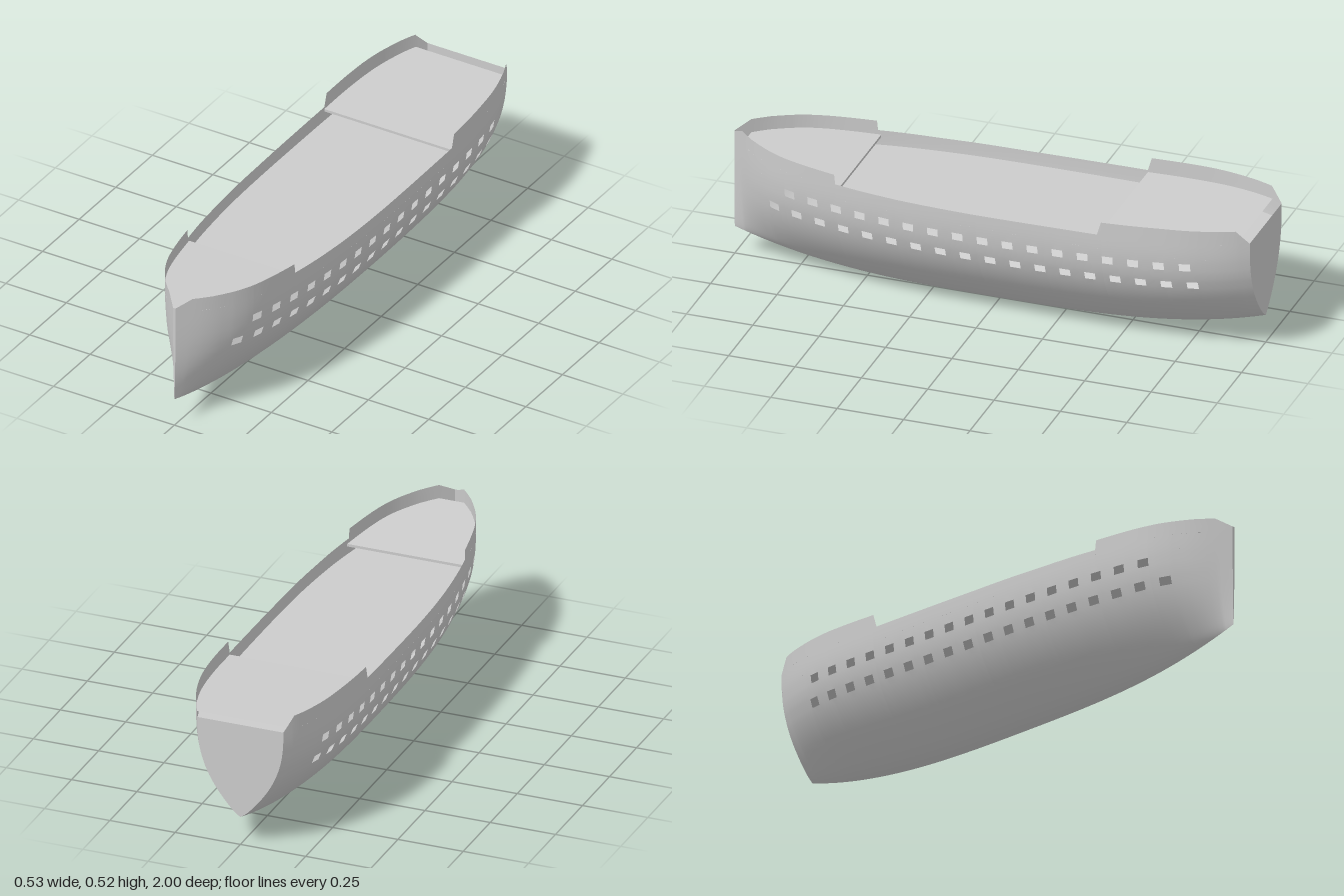
import * as THREE from 'three';

// Piecewise-linear lookup for rail heights
function lerpTable(pts, z) {
  for (let i = 1; i < pts.length; i++) {
    const [z0, a] = pts[i - 1], [z1, b] = pts[i];
    if (z <= z1) return a + (b - a) * Math.max(0, (z - z0) / (z1 - z0));
  }
  return pts[pts.length - 1][1];
}

// Smooth (cubic Hermite) lookup for the plan outline
function smoothTable(pts, z) {
  const n = pts.length;
  let i = 0;
  while (i < n - 2 && z > pts[i + 1][0]) i++;
  const slope = (k) => {
    const a = pts[Math.max(0, k - 1)], b = pts[Math.min(n - 1, k + 1)];
    return (b[1] - a[1]) / (b[0] - a[0]);
  };
  const h = pts[i + 1][0] - pts[i][0], t = (z - pts[i][0]) / h, t2 = t * t, t3 = t2 * t;
  return (2 * t3 - 3 * t2 + 1) * pts[i][1] + (t3 - 2 * t2 + t) * h * slope(i)
    + (3 * t2 - 2 * t3) * pts[i + 1][1] + (t3 - t2) * h * slope(i + 1);
}

const PLAN = [[-1, 0.165], [-0.957, 0.187], [-0.9, 0.21], [-0.8, 0.237], [-0.7, 0.252], [-0.55, 0.262],
  [-0.3, 0.265], [0, 0.264], [0.2, 0.258], [0.4, 0.242], [0.53, 0.224], [0.7, 0.191], [0.8, 0.157],
  [0.9, 0.097], [0.955, 0.048], [1, 0.005]];
const RAIL = [[-1, 0.474], [-0.955, 0.525], [-0.7, 0.522], [-0.475, 0.513], [-0.46, 0.463], [0, 0.459],
  [0.3, 0.46], [0.541, 0.465], [0.545, 0.502], [0.75, 0.51], [0.955, 0.52], [1, 0.49]];
const keel = (z) => 0.002 + 0.108 * Math.abs(z) ** 3;
const sheer = (z) => 0.455 + 0.015 * z ** 4;
const lowRow = (z) => 0.274 + 0.03 * z * z;
const highRow = (z) => 0.356 + 0.028 * z * z;

// Half-breadth of the hull at station z and height y
function halfBreadth(z, y) {
  const t = THREE.MathUtils.clamp((y - keel(z)) / (sheer(z) - keel(z)), 0, 1);
  const f = 1 - (1 - t) ** 2.5 + 1.2 * t * Math.exp(-18 * t);
  return smoothTable(PLAN, z) * Math.min(1, f);
}

// Window openings: centres along each row
const HALF_W = 0.02, HALF_H = 0.015;
const highWindows = Array.from({ length: 17 }, (_, i) => 0.729 - 0.0943 * i);
const lowWindows = Array.from({ length: 18 }, (_, i) => 0.8 - 0.0942 * i);

function stations() {
  const zs = RAIL.map((p) => p[0]);
  for (const c of [...highWindows, ...lowWindows]) zs.push(c - HALF_W, c + HALF_W);
  for (let i = 1; i < 60; i++) {
    const z = -1 + i / 30;
    if (!zs.some((q) => Math.abs(q - z) < 0.01)) zs.push(z);
  }
  return zs.sort((a, b) => a - b);
}

// Heights of a cross-section, bottom to rail, with the band each step belongs to
const STEPS = [14, 1, 3, 1, 3, 2];
function heights(z) {
  const edges = [keel(z), lowRow(z) - HALF_H, lowRow(z) + HALF_H,
    highRow(z) - HALF_H, highRow(z) + HALF_H, sheer(z), lerpTable(RAIL, z)];
  const ys = [edges[0]];
  STEPS.forEach((n, b) => {
    for (let i = 1; i <= n; i++) {
      const f = b === 0 ? (i / n) ** 1.4 : i / n;
      ys.push(edges[b] + (edges[b + 1] - edges[b]) * f);
    }
  });
  return ys;
}
const bands = STEPS.flatMap((n, b) => Array(n).fill(b));

function makeGeometry(pos, idx) {
  const g = new THREE.BufferGeometry();
  g.setAttribute('position', new THREE.Float32BufferAttribute(pos, 3));
  g.setIndex(idx);
  g.computeVertexNormals();
  return g;
}

// One side of the shell, with the window cells left open
function sideShell(side) {
  const zs = stations(), rows = bands.length + 1, pos = [], idx = [];
  for (const z of zs) for (const y of heights(z)) pos.push(side * halfBreadth(z, y), y, z);
  const open = (list, z) => list.some((c) => Math.abs(c - z) < HALF_W);
  for (let i = 0; i < zs.length - 1; i++) {
    const mid = (zs[i] + zs[i + 1]) / 2;
    bands.forEach((band, j) => {
      if ((band === 1 && open(lowWindows, mid)) || (band === 3 && open(highWindows, mid))) return;
      const a = i * rows + j, b = a + 1, c = a + rows, d = c + 1;
      if (side > 0) idx.push(a, b, c, b, d, c);
      else idx.push(a, c, b, b, c, d);
    });
  }
  return makeGeometry(pos, idx);
}

// Ribbon between left and right points, used for decks, deck edges and end plates
function ribbon(points, flip) {
  const pos = [], idx = [];
  points.forEach(([x, y, z], i) => {
    pos.push(-x, y, z, x, y, z);
    if (i === 0) return;
    const a = 2 * i - 2, b = a + 1, c = a + 2, d = a + 3;
    if (flip) idx.push(a, c, b, b, c, d);
    else idx.push(a, b, c, b, d, c);
  });
  return makeGeometry(pos, idx);
}

function deck(z0, z1, y0, y1) {
  const n = 40, pts = [];
  for (let i = 0; i <= n; i++) {
    const z = z0 + (z1 - z0) * i / n, y = y0 + (y1 - y0) * i / n;
    pts.push([halfBreadth(z, y), y, z]);
  }
  return ribbon(pts, true);
}

const deckEdge = (z, y0, y1, flip) => ribbon([y0, y1].map((y) => [halfBreadth(z, y), y, z]), flip);
const endPlate = (z, flip) => ribbon(heights(z).map((y) => [halfBreadth(z, y), y, z]), flip);

export function createModel() {
  const model = new THREE.Group();
  model.name = 'shipHull';
  const grey = new THREE.MeshStandardMaterial({ color: 0xcccccc, side: THREE.DoubleSide });
  grey.name = 'hullGrey';
  const add = (name, geometry) => {
    const mesh = new THREE.Mesh(geometry, grey);
    mesh.name = name;
    model.add(mesh);
  };

  // Shell
  add('leftHullSide', sideShell(1));
  add('rightHullSide', sideShell(-1));
  add('stem', endPlate(1, false));
  add('transom', endPlate(-1, true));

  // Full-length main deck, with raised decks over both ends
  add('mainDeck', deck(-1, 1, 0.408, 0.408));
  add('foreDeck', deck(0.53, 0.955, 0.448, 0.468));
  add('aftDeck', deck(-0.957, -0.46, 0.474, 0.455));
  add('foreDeckEdge', deckEdge(0.53, 0.438, 0.448, true));
  add('aftDeckEdge', deckEdge(-0.46, 0.445, 0.455, false));
  return model;
}
